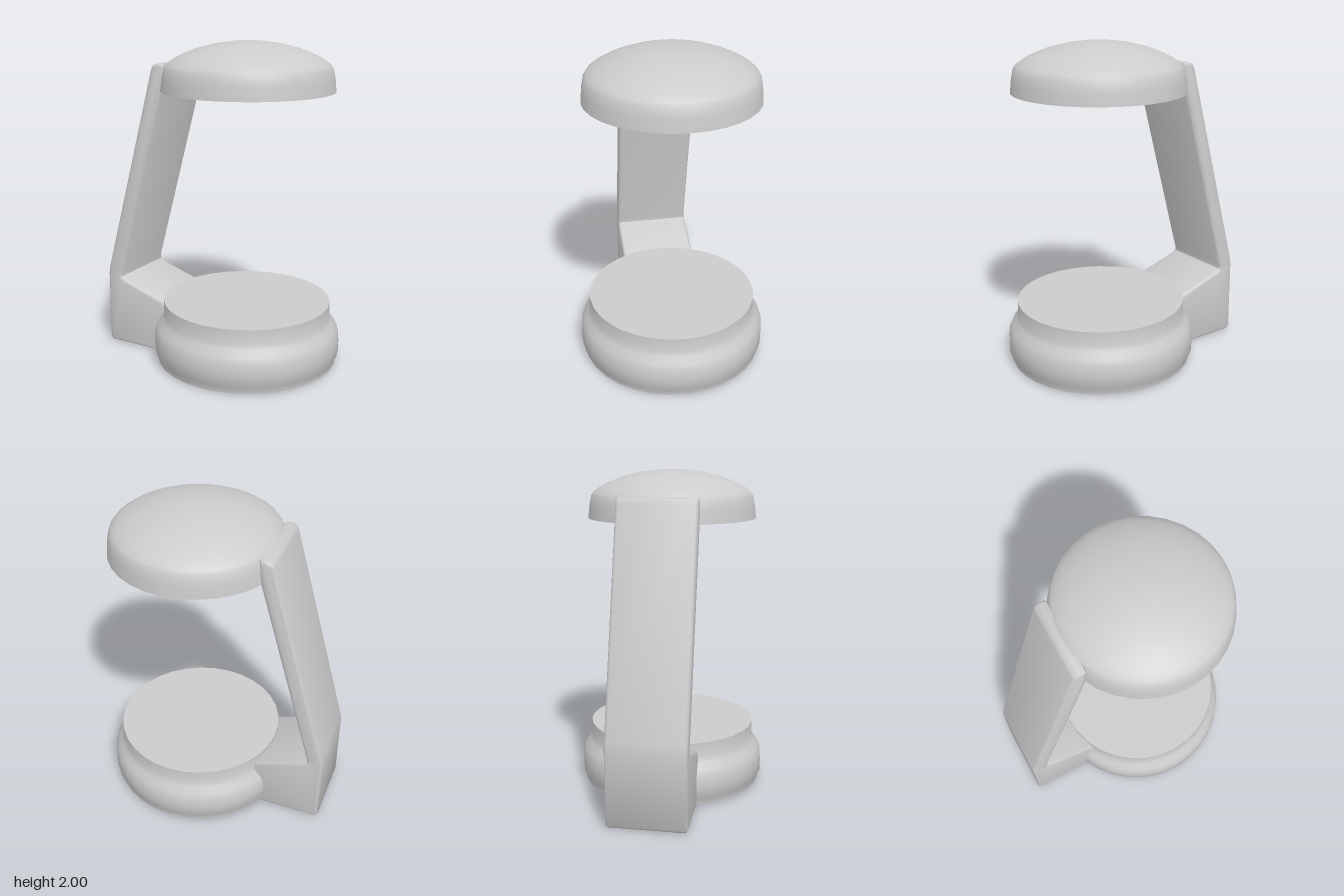
import * as THREE from 'three';
import { toCreasedNormals } from 'three/addons/utils/BufferGeometryUtils.js';

const material = new THREE.MeshStandardMaterial({ color: 0xcccccc });
const AXIS_X = 0.16; // shared centre of the round base and head

function addPart(group, name, geometry) {
  const mesh = new THREE.Mesh(toCreasedNormals(geometry, 0.9), material);
  mesh.name = name;
  group.add(mesh);
  return mesh;
}

// Turned part from [radius, height] points, listed bottom to top
function addTurned(group, name, points) {
  const profile = points.map(([r, y]) => new THREE.Vector2(r, y));
  addPart(group, name, new THREE.LatheGeometry(profile, 32)).position.x = AXIS_X;
}

export function createModel() {
  const group = new THREE.Group();

  // Round base with a bulging lower ring and a straight neck
  addTurned(group, 'base', [
    [0, 0.005], [0.568, 0.005], [0.572, 0.04], [0.585, 0.06], [0.587, 0.13],
    [0.583, 0.19], [0.568, 0.225], [0.54, 0.265], [0.526, 0.295], [0.525, 0.385], [0, 0.385],
  ]);

  // Domed head with a flat underside
  addTurned(group, 'head', [
    [0, 1.703], [0.525, 1.703], [0.517, 1.78], [0.505, 1.84], [0.49, 1.862], [0.45, 1.891],
    [0.39, 1.922], [0.31, 1.953], [0.21, 1.979], [0.1, 1.995], [0, 2],
  ]);

  // Foot block and leaning arm, one side outline extruded across the width
  const outline = new THREE.Shape([
    [-0.73, 0], [-0.3, 0], [-0.3, 0.325], [-0.322, 0.348], [-0.625, 0.444], [-0.648, 0.458],
    [-0.648, 0.48], [-0.312, 1.7], [-0.296, 1.845], [-0.305, 1.858], [-0.34, 1.86],
    [-0.372, 1.847], [-0.383, 1.825], [-0.742, 0.52], [-0.75, 0.47], [-0.75, 0.02],
  ].map(([x, y]) => new THREE.Vector2(x, y)));
  const bevel = 0.018;
  const width = 0.48;
  const arm = new THREE.ExtrudeGeometry(outline, {
    depth: width - 2 * bevel,
    bevelThickness: bevel,
    bevelSize: bevel,
    bevelOffset: -bevel,
    bevelSegments: 2,
  });
  arm.translate(0, 0, bevel - width / 2);
  addPart(group, 'arm', arm);

  return group;
}
